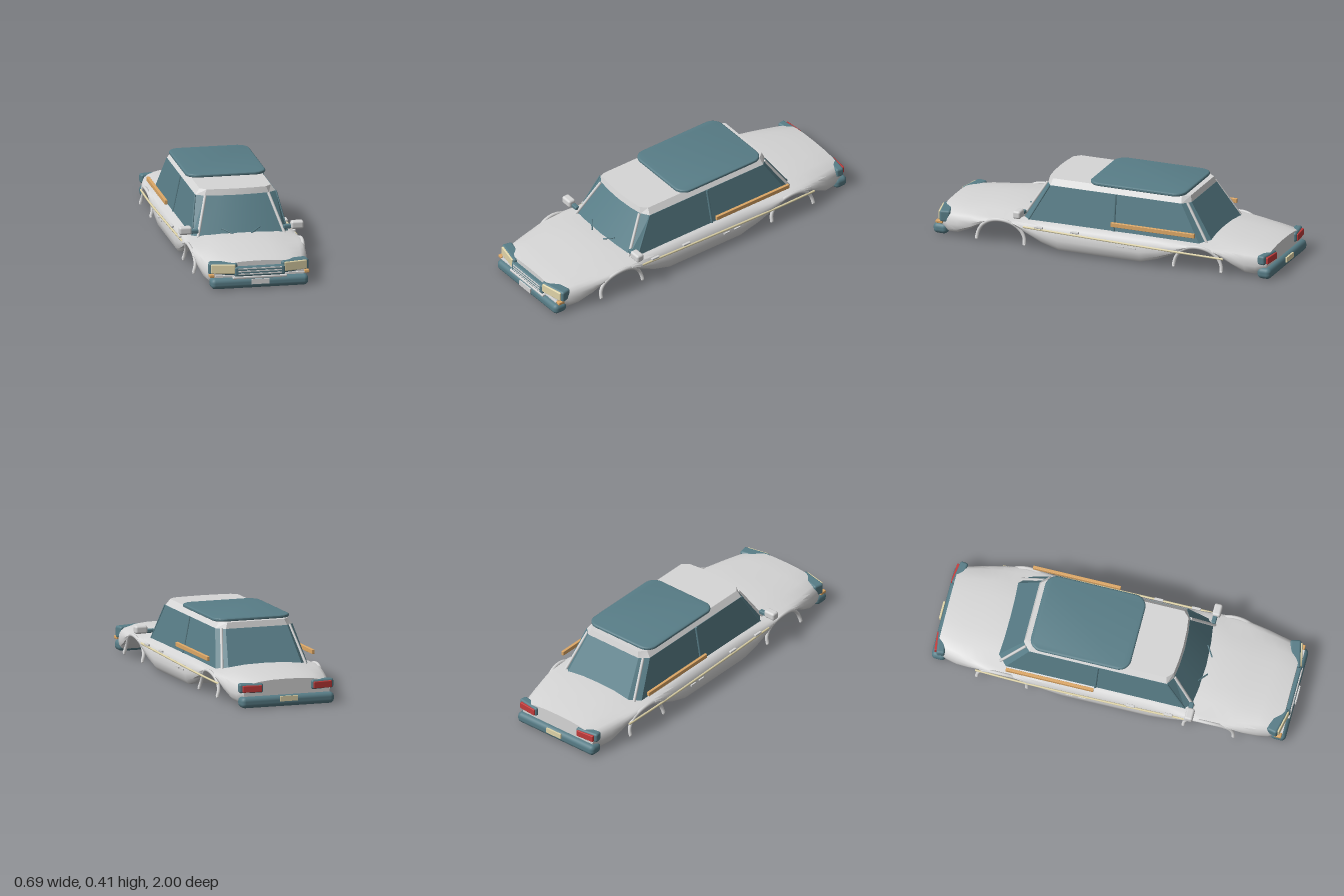
import * as THREE from 'three';
import { toCreasedNormals } from 'three/addons/utils/BufferGeometryUtils.js';
import { RoundedBoxGeometry } from 'three/addons/geometries/RoundedBoxGeometry.js';

const mat = (name, color) => {
  const m = new THREE.MeshStandardMaterial({ color });
  m.name = name;
  return m;
};
const V = (x, y, z) => new THREE.Vector3(x, y, z);

// Complete a half outline (centre to centre) with its mirror image.
const mirrorRing = (half) => [
  ...half,
  ...half.slice(1, -1).reverse().map(([x, y, z]) => [-x, y, z]),
];

// Skin a list of closed rings and cap both ends.
function loft(rings, crease) {
  const n = rings[0].length, last = rings.length - 1, pos = rings.flat(2), idx = [];
  for (let i = 0; i < last; i++) {
    for (let j = 0; j < n; j++) {
      const k = (j + 1) % n;
      const a = i * n + j, b = i * n + k, c = b + n, d = a + n;
      idx.push(a, b, c, a, c, d);
    }
  }
  for (const i of [0, last]) {
    const mid = pos.length / 3;
    for (let q = 0; q < 3; q++) pos.push(rings[i].reduce((s, p) => s + p[q], 0) / n);
    for (let j = 0; j < n; j++) {
      const a = i * n + j, b = i * n + (j + 1) % n;
      if (i === 0) idx.push(mid, b, a);
      else idx.push(mid, a, b);
    }
  }
  const g = new THREE.BufferGeometry();
  g.setAttribute('position', new THREE.Float32BufferAttribute(pos, 3));
  g.setIndex(idx);
  return toCreasedNormals(g, crease);
}

export function createModel() {
  const paint = mat('light grey paint', 0xd6d6d6);
  const teal = mat('dark teal', 0x587d87);
  const cream = mat('cream', 0xe0d5aa);
  const orange = mat('orange', 0xdea866);
  const red = mat('red', 0xc23b3b);

  const model = new THREE.Group();
  model.name = 'car';
  const add = (name, geo, material, x = 0, y = 0, z = 0, ry = 0) => {
    const m = new THREE.Mesh(geo, material);
    m.name = name;
    m.position.set(x, y, z);
    m.rotation.y = ry;
    model.add(m);
  };
  const box = (w, h, d, r = 0) => r ? new RoundedBoxGeometry(w, h, d, 3, r) : new THREE.BoxGeometry(w, h, d);
  const tube = (pts, r, seg) => new THREE.TubeGeometry(new THREE.CatmullRomCurve3(pts), seg, r, 8);
  const rod = (a, b, r) => {
    const g = new THREE.CylinderGeometry(r, r, a.distanceTo(b), 8);
    g.applyQuaternion(new THREE.Quaternion().setFromUnitVectors(V(0, 1, 0), b.clone().sub(a).normalize()));
    const c = a.clone().add(b).multiplyScalar(0.5);
    return g.translate(c.x, c.y, c.z);
  };

  // Body shell: z, half width, edge height, crown, underside
  const stations = [
    [0.962, 0.25, 0.125, 0.022, 0.05], [0.9, 0.277, 0.133, 0.022, 0.022],
    [0.84, 0.29, 0.138, 0.022, 0.028], [0.76, 0.304, 0.142, 0.023, 0.065],
    [0.71, 0.309, 0.145, 0.024, 0.095], [0.64, 0.313, 0.148, 0.025, 0.13],
    [0.57, 0.316, 0.15, 0.025, 0.138], [0.5, 0.318, 0.152, 0.023, 0.128],
    [0.43, 0.32, 0.154, 0.016, 0.088], [0.34, 0.32, 0.155, 0.012, 0.045],
    [0.24, 0.32, 0.156, 0.01, 0.016], [-0.24, 0.32, 0.156, 0.01, 0.016],
    [-0.34, 0.32, 0.155, 0.012, 0.045], [-0.44, 0.32, 0.154, 0.018, 0.088],
    [-0.51, 0.318, 0.153, 0.023, 0.128], [-0.58, 0.316, 0.152, 0.026, 0.138],
    [-0.65, 0.312, 0.15, 0.026, 0.13], [-0.72, 0.306, 0.147, 0.025, 0.095],
    [-0.77, 0.299, 0.144, 0.024, 0.065], [-0.84, 0.286, 0.139, 0.023, 0.028],
    [-0.9, 0.27, 0.134, 0.022, 0.022], [-0.96, 0.25, 0.126, 0.022, 0.05],
  ];
  const hull = stations.map(([z, w, top, crown, low]) => {
    const at = (f) => low + (top - low) * f;
    return mirrorRing([
      [0, top + crown, z], [w * 0.35, top + crown * 0.92, z], [w * 0.65, top + crown * 0.6, z],
      [w * 0.88, top, z], [w * 0.95, at(0.88), z], [w * 0.985, at(0.68), z],
      [w, at(0.42), z], [w * 0.985, at(0.16), z], [w * 0.93, low, z], [0, low, z],
    ]);
  });
  add('bodyShell', loft(hull, 0.7), paint);

  // Cabin glass and roof share a chamfered plan
  const plan = (y, xs, xf, xr, zf, zfc, zfs, zrs, zr) => mirrorRing([
    [0, y, zf], [xf * 0.55, y, zf - (zf - zfc) * 0.3], [xf, y, zfc], [xs, y, zfs],
    [xs, y, zrs], [xr, y, zr], [0, y, zr],
  ]);
  const eaves = [0.224, 0.178, 0.178, 0.366, 0.35, 0.32, -0.45, -0.492];
  add('cabinGlass', loft([
    plan(0.145, 0.268, 0.238, 0.215, 0.505, 0.475, 0.435, -0.575, -0.635),
    plan(0.354, ...eaves),
  ], 0.2), teal);
  add('roof', loft([
    plan(0.352, ...eaves),
    plan(0.387, 0.198, 0.165, 0.165, 0.357, 0.344, 0.312, -0.442, -0.482),
  ], 0.2), paint);

  // Roof panel with rounded corners
  const hw = 0.21, hl = 0.268, cr = 0.055;
  const s = new THREE.Shape();
  s.absarc(hw - cr, hl - cr, cr, 0, Math.PI / 2);
  s.absarc(-hw + cr, hl - cr, cr, Math.PI / 2, Math.PI);
  s.absarc(-hw + cr, -hl + cr, cr, Math.PI, Math.PI * 1.5);
  s.absarc(hw - cr, -hl + cr, cr, Math.PI * 1.5, Math.PI * 2);
  const panel = new THREE.ExtrudeGeometry(s, {
    depth: 0.004, bevelThickness: 0.008, bevelSize: 0.012, bevelSegments: 4, curveSegments: 8,
  }).rotateX(-Math.PI / 2);
  add('roofPanel', toCreasedNormals(panel, 0.7), teal, 0, 0.393, -0.176);

  // Bumpers and plates
  add('frontBumper', box(0.54, 0.06, 0.085, 0.025), teal, 0, 0.03, 0.95);
  add('rearBumper', box(0.54, 0.062, 0.08, 0.025), teal, 0, 0.031, -0.948);
  add('frontPlate', box(0.1, 0.028, 0.008), paint, 0, 0.039, 0.996);
  add('rearPlate', box(0.1, 0.028, 0.01), cream, 0, 0.045, -0.993);

  // Grille
  add('grilleLip', box(0.3, 0.014, 0.05, 0.005), paint, 0, 0.061, 0.965);
  add('grille', box(0.28, 0.054, 0.05, 0.01), teal, 0, 0.093, 0.962);
  for (const y of [0.081, 0.096, 0.111]) add('grilleBar', box(0.24, 0.006, 0.006), paint, 0, y, 0.987);

  for (const k of [1, -1]) {
    // Lamps
    add('headlightHousing', box(0.158, 0.066, 0.06, 0.012), teal, k * 0.196, 0.107, 0.935, k * 0.22);
    add('headlight', box(0.132, 0.051, 0.024, 0.005), cream, k * 0.199, 0.109, 0.96, k * 0.2);
    add('indicator', box(0.028, 0.017, 0.04, 0.004), orange, k * 0.262, 0.073, 0.952);
    add('frontTrim', box(0.11, 0.006, 0.02), paint, k * 0.195, 0.071, 0.964);
    add('tailLightHousing', box(0.135, 0.052, 0.045, 0.012), teal, k * 0.205, 0.107, -0.944, -k * 0.15);
    add('tailLight', box(0.108, 0.037, 0.02, 0.004), red, k * 0.203, 0.105, -0.967, -k * 0.08);

    // Window pillars
    add('frontPillar', rod(V(k * 0.24, 0.155, 0.475), V(k * 0.175, 0.354, 0.354), 0.008), paint);
    add('rearPillar', rod(V(k * 0.243, 0.155, -0.607), V(k * 0.197, 0.354, -0.475), 0.008), paint);
    add('doorPillar', rod(V(k * 0.266, 0.155, -0.07), V(k * 0.226, 0.354, -0.065), 0.007), teal);
    add('quarterWindowPost', rod(V(k * 0.264, 0.155, 0.43), V(k * 0.224, 0.353, 0.322), 0.005), teal);

    // Mirrors and wipers
    add('mirror', box(0.07, 0.044, 0.045, 0.012), paint, k * 0.31, 0.199, 0.47);
    add('mirrorArm', box(0.05, 0.022, 0.025, 0.006), teal, k * 0.26, 0.19, 0.465);
    add('wiper', rod(V(k * 0.05, 0.174, 0.505), V(k * 0.105, 0.197, 0.468), 0.004), teal);

    // Wheel arch trims: crest and feet lean out, legs tuck in
    for (const z of [0.575, -0.58]) {
      const pts = [];
      for (let i = 0; i <= 16; i++) {
        const a = Math.PI * i / 16, h = Math.sin(a);
        pts.push(V(k * (0.301 + 0.012 * (2 * h - 1) ** 2), 0.03 + 0.119 * h, z + 0.14 * Math.cos(a)));
      }
      add('wheelArchTrim', tube(pts, 0.01, 32), paint);
      for (const e of [1, -1]) add('archFoot', box(0.012, 0.01, 0.016, 0.003), paint, k * 0.313, 0.026, z + e * 0.14);
    }

    // Side strips and handles
    add('sideStrip', tube([V(k * 0.317, 0.128, 0.44), V(k * 0.32, 0.118, 0),
      V(k * 0.319, 0.108, -0.45), V(k * 0.309, 0.1, -0.73)], 0.006, 24), cream);
    add('sideRail', box(0.016, 0.024, 0.49, 0.002), orange, k * 0.304, 0.209, -0.315);
    for (const z of [0.35, 0.14]) add('doorHandle', box(0.014, 0.012, 0.05, 0.003), paint, k * 0.316, 0.136, z);
    for (const z of [-0.13, -0.2]) add('sillClip', box(0.01, 0.008, 0.04), paint, k * 0.32, 0.093, z);
  }
  return model;
}
